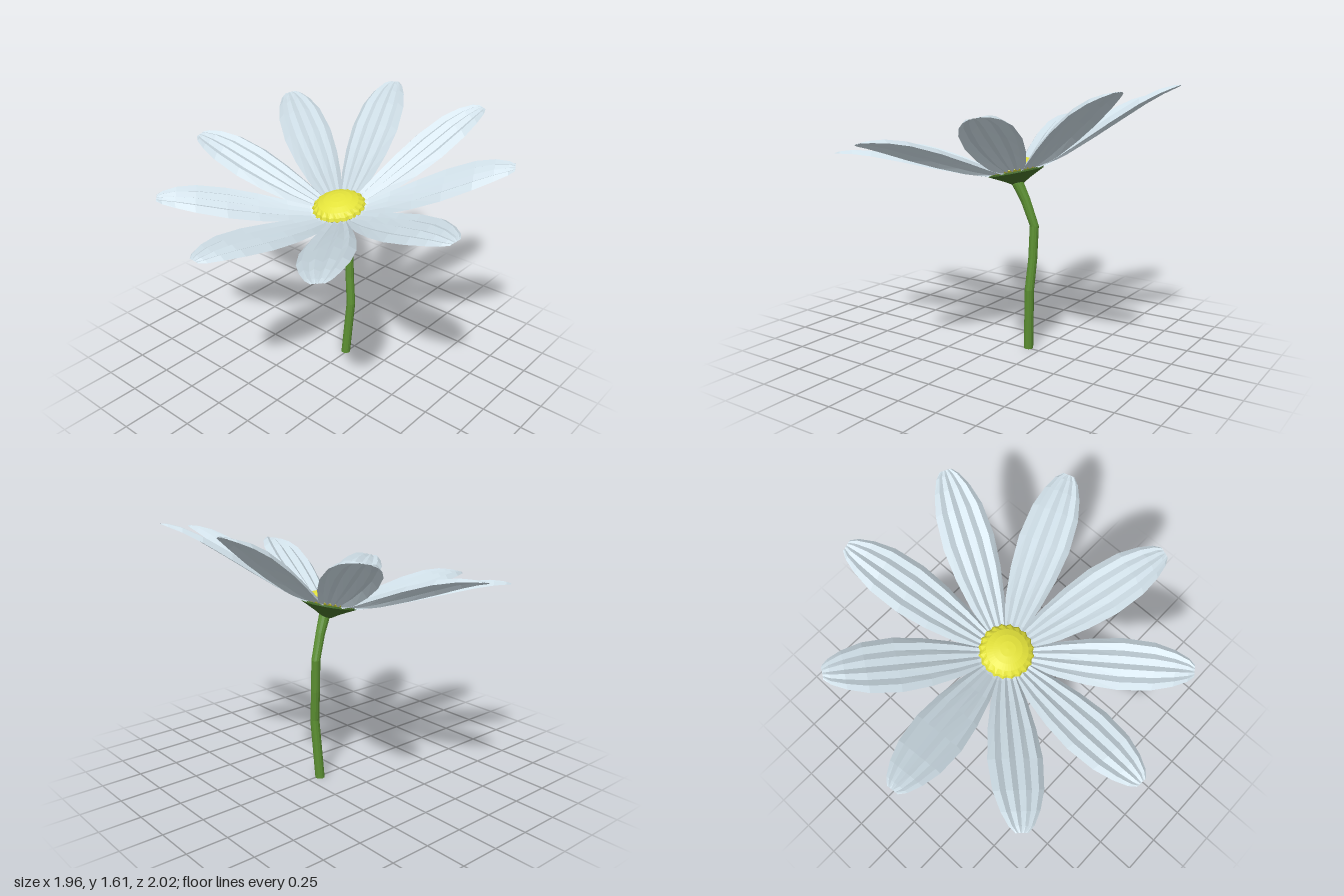
import * as THREE from 'three';

const material = (name, color, side = THREE.FrontSide) => {
  const m = new THREE.MeshStandardMaterial({ color, flatShading: true, side });
  m.name = name;
  return m;
};

const addMesh = (parent, name, geometry, mat) => {
  const mesh = new THREE.Mesh(geometry, mat);
  mesh.name = name;
  parent.add(mesh);
  return mesh;
};

// Surface through rows of points, point(row, column) -> [x, y, z]
function loft(rows, cols, point) {
  const position = [], index = [];
  for (let i = 0; i < rows; i++) {
    for (let j = 0; j < cols; j++) position.push(...point(i, j));
  }
  for (let i = 0; i < rows - 1; i++) {
    for (let j = 0; j < cols - 1; j++) {
      const a = i * cols + j, b = a + cols;
      index.push(a, b, a + 1, b, b + 1, a + 1);
    }
  }
  const g = new THREE.BufferGeometry();
  g.setAttribute('position', new THREE.Float32BufferAttribute(position, 3));
  g.setIndex(index);
  g.computeVertexNormals();
  return g;
}

// Pleated petal pointing along +x: [distance, rise, half width, pleat depth]
function petalGeometry() {
  const sections = [
    [0.10, 0.000, 0.045, 0.3], [0.17, 0.012, 0.068, 0.6], [0.30, 0.060, 0.105, 0.9],
    [0.46, 0.125, 0.136, 1.0], [0.63, 0.195, 0.152, 1.0], [0.80, 0.260, 0.138, 0.9],
    [0.91, 0.290, 0.105, 0.7], [0.985, 0.300, 0.068, 0.4], [1.02, 0.300, 0.035, 0.1],
  ];
  const pleats = [-0.022, 0.012, -0.010, 0.014, -0.012, 0.014, -0.010, 0.012, -0.022];
  const n = pleats.length - 1;
  return loft(sections.length, pleats.length, (i, j) => {
    const [r, rise, half, depth] = sections[i];
    return [r, rise + pleats[j] * depth, half * (1 - (2 * j) / n)];
  });
}

// Domed centre with a scalloped rim
function centreGeometry(lobes) {
  const profile = [[0.14, -0.005], [0.158, 0.012], [0.148, 0.03], [0.122, 0.05], [0.085, 0.066], [0.045, 0.075], [0, 0.078]];
  const g = new THREE.LatheGeometry(profile.map(([r, y]) => new THREE.Vector2(r, y)), lobes * 2);
  const p = g.attributes.position;
  for (let i = 0; i < p.count; i++) {
    const x = p.getX(i), z = p.getZ(i), r = Math.hypot(x, z);
    if (r < 0.13) continue;
    const k = 1 + 0.035 * Math.cos(lobes * Math.atan2(z, x));
    p.setX(i, x * k);
    p.setZ(i, z * k);
  }
  g.computeVertexNormals();
  return g;
}

// Bent stem, closed at the foot: [x, y, z, radius]
function stemGeometry() {
  const rings = [
    [0.17, 0, -0.01, 0], [0.17, 0, -0.01, 0.029], [0.188, 0.38, 0.013, 0.028],
    [0.197, 0.57, -0.008, 0.027], [0.2, 0.77, -0.018, 0.027],
    [0.15, 0.92, 0.0, 0.027], [0.105, 1.02, 0.015, 0.032], [0.09, 1.06, 0.01, 0.03],
  ];
  const sides = 12;
  return loft(rings.length, sides + 1, (i, j) => {
    const [x, y, z, r] = rings[i];
    const a = (j / sides) * Math.PI * 2;
    const lean = i > 4 ? 0.45 : 0; // upper rings follow the bend
    return [x + r * Math.cos(a), y + lean * r * Math.cos(a), z + r * Math.sin(a)];
  });
}

export function createModel() {
  const white = material('petal white', 0xd6e6ef, THREE.DoubleSide);
  const yellow = material('centre yellow', 0xe3e23a);
  const stemGreen = material('stem green', 0x5c9032);
  const calyxGreen = material('calyx green', 0x47702a);

  const flower = new THREE.Group();
  flower.name = 'flower';
  addMesh(flower, 'stem', stemGeometry(), stemGreen);

  // Tilted flower head
  const head = new THREE.Group();
  head.name = 'flowerHead';
  head.position.set(0.08, 1.09, 0);
  head.rotation.z = THREE.MathUtils.degToRad(13);
  flower.add(head);

  const cup = [[0, -0.085], [0.03, -0.08], [0.07, -0.055], [0.12, -0.03], [0.165, -0.008], [0.165, 0.002], [0.1, 0]];
  addMesh(head, 'calyx', new THREE.LatheGeometry(cup.map(([r, y]) => new THREE.Vector2(r, y)), 24), calyxGreen);
  addMesh(head, 'centre', centreGeometry(20), yellow);

  // Ring of nine petals
  const petal = petalGeometry();
  for (let i = 0; i < 9; i++) {
    const mesh = addMesh(head, 'petal', petal, white);
    mesh.rotation.y = -THREE.MathUtils.degToRad(24 + i * 40);
  }
  return flower;
}
